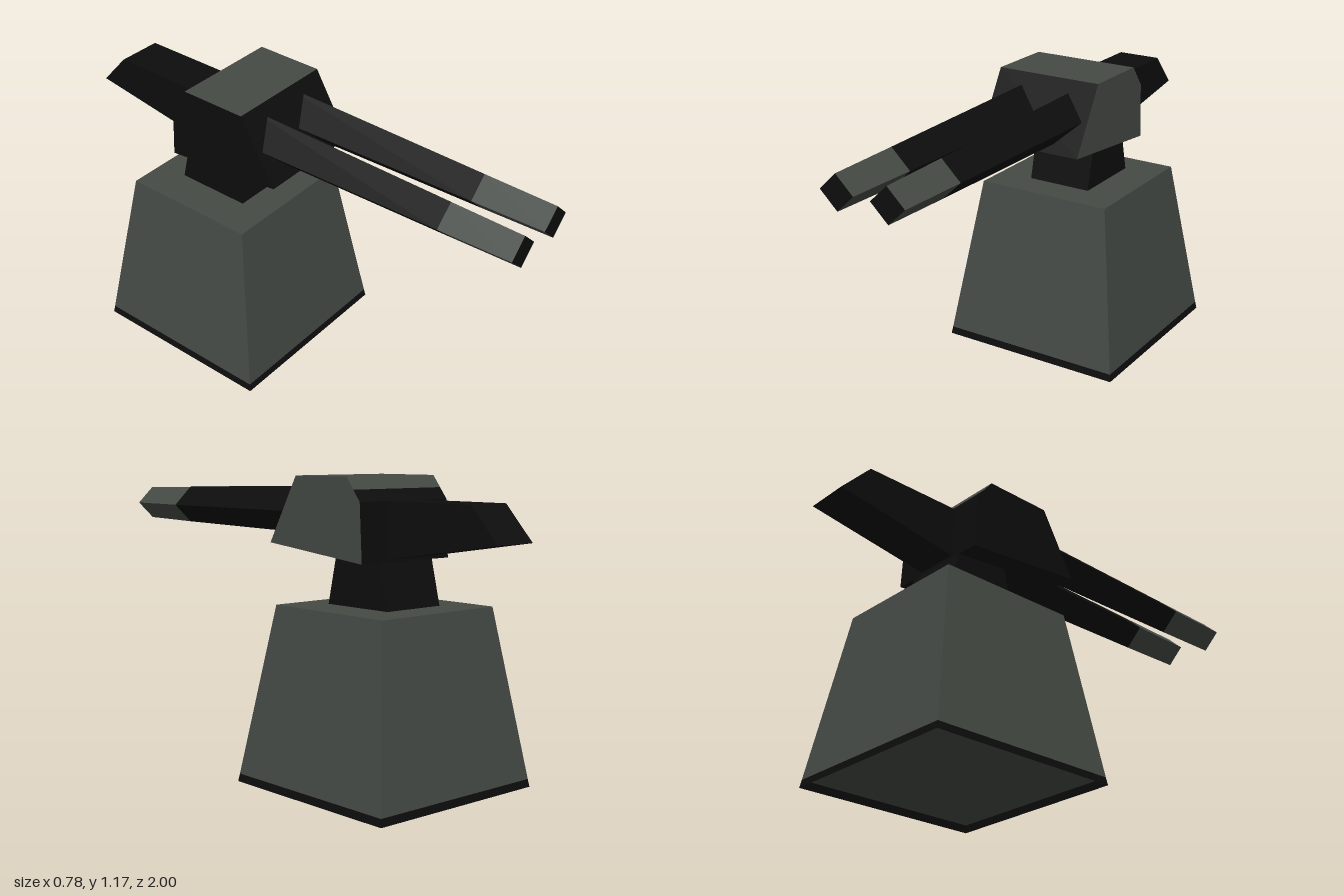
import * as THREE from 'three';

const gray = new THREE.MeshStandardMaterial({ color: 0x454a45 });
gray.name = 'grey armour';
const black = new THREE.MeshStandardMaterial({ color: 0x0d0d0d });
black.name = 'black metal';
const blackOpen = new THREE.MeshStandardMaterial({ color: 0x0d0d0d, side: THREE.DoubleSide });
blackOpen.name = 'black skirt';

// Flat-faced loft between two rings of [x, y, z]; rings run counter-clockwise about the loft axis.
// pick(face) gives each face's material: side number, 'start' or 'end'; null leaves it out.
function loft(name, a, b, pick) {
  const n = a.length, pos = [], mats = [];
  const geo = new THREE.BufferGeometry();
  const addFace = (corners, key) => {
    const mat = pick(key);
    if (!mat) return;
    if (!mats.includes(mat)) mats.push(mat);
    const start = pos.length / 3;
    for (let i = 1; i < corners.length - 1; i++) {
      pos.push(...corners[0], ...corners[i], ...corners[i + 1]);
    }
    geo.addGroup(start, pos.length / 3 - start, mats.indexOf(mat));
  };
  for (let i = 0; i < n; i++) {
    const j = (i + 1) % n;
    addFace([a[i], a[j], b[j], b[i]], i);
  }
  addFace([...a].reverse(), 'start');
  addFace(b, 'end');
  geo.setAttribute('position', new THREE.Float32BufferAttribute(pos, 3));
  geo.computeVertexNormals();
  const mesh = new THREE.Mesh(geo, mats.length > 1 ? mats : mats[0]);
  mesh.name = name;
  return mesh;
}

// Horizontal rectangle at height y
const rect = (w, y, back, front) =>
  [[-w, y, front], [w, y, front], [w, y, back], [-w, y, back]];

// Upright diamond at depth z
const diamond = (cx, cy, w, h, z) =>
  [[cx + w, cy, z], [cx, cy + h, z], [cx - w, cy, z], [cx, cy - h, z]];

// Side profile of [z, y] points placed at x
const profileAt = (profile, x) => profile.map(([z, y]) => [x, y, z]);

export function createModel() {
  const model = new THREE.Group();
  model.name = 'twin barrel turret';

  // Pedestal with an open black skirt around its foot
  const foot = rect(0.385, 0.03, -0.765, 0.013);
  model.add(loft('pedestal', foot, rect(0.285, 0.685, -0.66, -0.09), () => gray));
  model.add(loft('skirt', rect(0.39, 0, -0.77, 0.018), foot,
    (f) => (typeof f === 'number' ? blackOpen : null)));

  // Neck
  model.add(loft('neck', rect(0.135, 0.688, -0.532, -0.217),
    rect(0.135, 0.9, -0.48, -0.265), () => black));

  // Head: grey roof, upper bevel and one cheek, black elsewhere
  const head = [[-0.41, 1.167], [-0.13, 1.167], [0.02, 0.91],
    [-0.49, 0.86], [-0.478, 1.08], [-0.445, 1.122]];
  model.add(loft('head', profileAt(head, -0.222), profileAt(head, 0.222),
    (f) => ([0, 5, 'end'].includes(f) ? gray : black)));

  // Tail counterweight
  const tail = [[-0.88, 1.08], [-0.46, 1.08], [-0.46, 0.866], [-1, 0.95]];
  model.add(loft('tail', profileAt(tail, -0.09), profileAt(tail, 0.09), () => black));

  // Tapered diamond barrels with grey muzzles
  for (const side of [-1, 1]) {
    const x = side * 0.106;
    const joint = diamond(x, 1.028, 0.077, 0.073, 0.71);
    const barrel = new THREE.Group();
    barrel.name = side > 0 ? 'leftBarrel' : 'rightBarrel';
    barrel.add(loft('barrelTube', diamond(x, 1.032, 0.096, 0.09, -0.2), joint, () => black));
    barrel.add(loft('muzzle', joint, diamond(x, 1.028, 0.071, 0.067, 1),
      (f) => (f === 'start' ? null : f === 'end' ? black : gray)));
    model.add(barrel);
  }
  return model;
}
